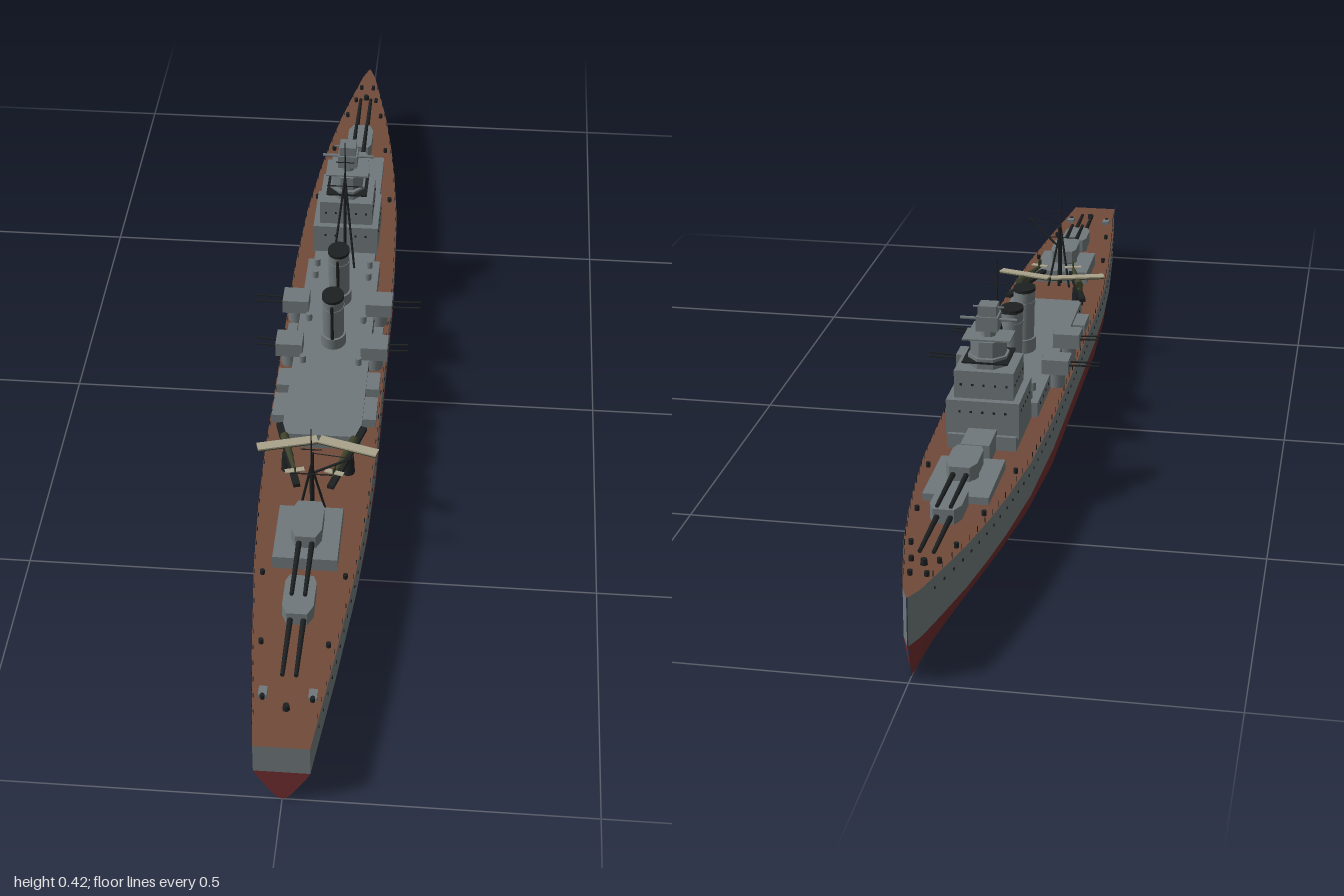
import * as THREE from 'three';
import { mergeGeometries, mergeVertices, toCreasedNormals } from 'three/addons/utils/BufferGeometryUtils.js';

const mat = (name, color, side = THREE.FrontSide) => {
  const m = new THREE.MeshStandardMaterial({ color, side });
  m.name = name;
  return m;
};

export function createModel() {
  const ship = new THREE.Group();
  ship.name = 'warship';
  const grey = mat('naval grey', 0x70787b);
  const red = mat('bottom red', 0x702d2e);
  const wood = mat('deck brown', 0x714a3a);
  const dark = mat('dark fittings', 0x1d2021);
  const cream = mat('wing cream', 0xa9a38c);
  const olive = mat('aircraft olive', 0x3f432c);

  const add = (name, geo, material, x = 0, y = 0, z = 0, parent = ship) => {
    const m = new THREE.Mesh(geo, material);
    m.name = name;
    m.position.set(x, y, z);
    parent.add(m);
    return m;
  };
  // box given by its base height
  const box = (name, w, h, d, x, y, z, material = grey, parent = ship) =>
    add(name, new THREE.BoxGeometry(w, h, d), material, x, y + h / 2, z, parent);
  // round bar between two points
  const rodGeo = (a, b, r, r2 = r) => {
    const p = new THREE.Vector3(...a), q = new THREE.Vector3(...b);
    const dir = q.clone().sub(p);
    const g = new THREE.CylinderGeometry(r2, r, dir.length(), 8);
    g.applyQuaternion(new THREE.Quaternion().setFromUnitVectors(new THREE.Vector3(0, 1, 0), dir.normalize()));
    return g.translate(...p.add(q).multiplyScalar(0.5).toArray());
  };
  const rods = (name, list, material = dark, parent = ship) =>
    add(name, mergeGeometries(list.map((l) => rodGeo(...l))), material, 0, 0, 0, parent);

  // surface through rows of points
  const loft = (rows) => {
    const n = rows[0].length, index = [];
    for (let i = 0; i < rows.length - 1; i++)
      for (let j = 0; j < n - 1; j++) {
        const a = i * n + j, c = a + n;
        index.push(a, c, a + 1, a + 1, c, c + 1);
      }
    const g = new THREE.BufferGeometry();
    g.setAttribute('position', new THREE.Float32BufferAttribute(rows.flat(2), 3));
    g.setIndex(index);
    return toCreasedNormals(mergeVertices(g), 0.5);
  };

  // Hull stations: z, half width, deck height, fullness of the bottom
  const stations = [
    [-1, 0.001, 0.145, 0], [-0.97, 0.013, 0.143, 0.05], [-0.9, 0.029, 0.14, 0.15], [-0.8, 0.05, 0.136, 0.3],
    [-0.7, 0.066, 0.132, 0.5], [-0.6, 0.079, 0.129, 0.65], [-0.45, 0.093, 0.125, 0.85], [-0.25, 0.1, 0.122, 1],
    [0, 0.1, 0.12, 1], [0.3, 0.1, 0.12, 1], [0.45, 0.096, 0.12, 0.9], [0.6, 0.087, 0.12, 0.7],
    [0.8, 0.068, 0.12, 0.35], [1, 0.045, 0.12, 0],
  ];
  const full = [[1, 1], [1, 0.7], [0.97, 0.48], [0.89, 0.27], [0.72, 0.12], [0, 0.03]];
  const vee = [[1, 1], [0.86, 0.8], [0.62, 0.53], [0.4, 0.28], [0.2, 0.1], [0, 0.03]];
  const WL = 0.064;
  const at = (z) => {
    let i = 1;
    while (i < stations.length - 1 && stations[i][0] < z) i++;
    const a = stations[i - 1], b = stations[i], t = (z - a[0]) / (b[0] - a[0]);
    return { w: a[1] + (b[1] - a[1]) * t, y: a[2] + (b[2] - a[2]) * t };
  };
  const half = ([z, w, , f]) => full.map(([fx, fy], k) => {
    const x = w * (vee[k][0] + (fx - vee[k][0]) * f), y = WL * (vee[k][1] + (fy - vee[k][1]) * f);
    return [x, y, z === -1 ? z + 0.02 * (1 - y / WL) : z];
  });
  const mirrored = (pts) => [...pts, ...pts.slice(0, -1).reverse().map(([x, y, z]) => [-x, y, z])];
  add('hullBottom', loft(stations.map((s) => mirrored(half(s)))), red);
  for (const s of [1, -1])
    add('hullSide', loft(stations.map(([z, w, y]) => {
      const edge = [[s * w, y, z], [s * w, WL, z]];
      return s > 0 ? edge : edge.reverse();
    })), grey);
  add('mainDeck', loft(stations.map(([z, w, y]) => [[-w, y, z], [w, y, z]])), wood);
  add('transom', loft([[[-0.045, 0.12, 1], [0.045, 0.12, 1]], [[-0.045, WL, 1], [0.045, WL, 1]]]), grey);
  add('transomBottom', loft(half(stations.at(-1)).map(([x, y, z]) => [[-x, y, z], [x, y, z]])), red);

  // Portholes and rail posts along both sides
  const holes = [], posts = [];
  for (let z = -0.92; z < 0.96; z += 0.035) {
    const { w, y } = at(z);
    for (const s of [1, -1]) {
      holes.push(new THREE.BoxGeometry(0.003, 0.004, 0.004).translate(s * w, y - 0.018, z));
      posts.push(new THREE.BoxGeometry(0.001, 0.01, 0.001).translate(s * (w - 0.002), y + 0.005, z));
    }
  }
  add('portholes', mergeGeometries(holes), dark);
  add('railPosts', mergeGeometries(posts), dark);

  // Deckhouse
  box('deckhouse', 0.142, 0.034, 0.54, 0, 0.116, 0.02);
  box('foreDeckhouse', 0.12, 0.034, 0.17, 0, 0.116, -0.325);
  box('foreHouseStep', 0.05, 0.04, 0.075, 0, 0.12, -0.435);
  const windows = [];
  for (let z = -0.22; z < 0.28; z += 0.03)
    for (const s of [1, -1]) windows.push(new THREE.BoxGeometry(0.002, 0.004, 0.004).translate(s * 0.071, 0.139, z));
  add('deckhousePortholes', mergeGeometries(windows), dark);

  // Bridge tower
  const tz = -0.34;
  box('towerBase', 0.128, 0.065, 0.125, 0, 0.145, tz);
  box('towerMiddle', 0.104, 0.05, 0.1, 0, 0.21, tz);
  const octagon = (name, r, h, y, sz = 1) => {
    const g = new THREE.CylinderGeometry(r, r, h, 8).rotateY(Math.PI / 8).scale(1.08, 1, sz * 1.08);
    add(name, toCreasedNormals(g, 0.3), grey, 0, y + h / 2, tz);
  };
  octagon('towerUpper', 0.034, 0.018, 0.26, 1.1);
  box('bridgeLedge', 0.08, 0.003, 0.08, 0, 0.27, tz, dark);
  octagon('bridge', 0.03, 0.028, 0.278);
  box('bridgeRoof', 0.084, 0.003, 0.055, 0, 0.307, tz);
  octagon('directorPost', 0.012, 0.016, 0.308);
  box('director', 0.038, 0.026, 0.038, 0, 0.322, tz);
  rods('rangefinder', [[[-0.05, 0.339, tz], [0.05, 0.339, tz], 0.003]], grey);
  box('upperDirector', 0.032, 0.019, 0.032, 0, 0.348, tz);
  rods('upperRangefinder', [[[-0.027, 0.361, tz], [0.027, 0.361, tz], 0.002]], grey);
  for (const [y, w, d] of [[0.19, 0.128, 0.125], [0.235, 0.104, 0.1]]) {
    const dots = [];
    for (let i = -2; i <= 2; i++)
      for (const s of [1, -1]) {
        dots.push(new THREE.BoxGeometry(0.002, 0.004, 0.004).translate(s * w / 2, y, tz + i * 0.02));
        dots.push(new THREE.BoxGeometry(0.004, 0.004, 0.002).translate(i * 0.02, y, tz + s * d / 2));
      }
    add('towerPortholes', mergeGeometries(dots), dark);
  }

  // Raked oval funnels
  const funnel = (z, top) => {
    const h = top - 0.145;
    const lean = new THREE.Matrix4().set(1, 0, 0, 0, 0, 1, 0, 0, 0, 0.13, 1, 0, 0, 0, 0, 1);
    const part = (name, r, len, y, m) =>
      add(name, new THREE.CylinderGeometry(r, r, len, 24).scale(1, 1, 1.25).translate(0, y + len / 2, 0).applyMatrix4(lean), m, 0, 0.145, z);
    part('funnel', 0.02, h, 0, grey);
    part('funnelBase', 0.024, 0.03, 0, grey);
    part('funnelBand', 0.0212, 0.004, h - 0.028, grey);
    part('funnelCap', 0.0207, 0.006, h - 0.005, dark);
    rods('steamPipe', [[[0, 0.15, z + 0.027], [0, top - 0.01, z + 0.027 + h * 0.13], 0.003]]);
  };
  funnel(0.01, 0.268);
  funnel(-0.125, 0.276);

  // Main gun turrets; dir is +1 for aft-facing
  const turret = (z, y, dir) => {
    const g = new THREE.Group();
    g.name = 'mainTurret';
    g.position.set(0, y, z);
    g.rotation.y = dir > 0 ? 0 : Math.PI;
    ship.add(g);
    const plan = new THREE.Shape([[-0.02, -0.045], [0.02, -0.045], [0.026, -0.03], [0.026, 0.025], [0.017, 0.045], [-0.017, 0.045],
      [-0.026, 0.025], [-0.026, -0.03]].map(([a, b]) => new THREE.Vector2(a, -b)));
    const house = new THREE.ExtrudeGeometry(plan, { depth: 0.025, bevelEnabled: false }).rotateX(-Math.PI / 2);
    add('gunHouse', house, grey, 0, 0.008, 0, g);
    add('barbette', new THREE.CylinderGeometry(0.024, 0.024, 0.02, 20), grey, 0, 0, 0, g);
    for (const s of [1, -1])
      rods('gunBarrel', [[[s * 0.011, 0.019, 0.035], [s * 0.011, 0.021, 0.17], 0.005, 0.0035]], dark, g);
  };
  turret(-0.69, 0.13, -1);
  box('foreGunPlatform', 0.11, 0.025, 0.153, 0, 0.118, -0.563);
  turret(-0.56, 0.145, -1);
  box('aftGunPlatform', 0.11, 0.03, 0.13, 0, 0.115, 0.54);
  turret(0.545, 0.148, 1);
  turret(0.7, 0.122, 1);

  // Side guns, boats and lockers
  for (const s of [1, -1]) {
    for (const [z, reach] of [[-0.09, 0.16], [0.045, 0.142]]) {
      box('sideGunHouse', 0.05, 0.028, 0.045, s * 0.08, 0.15, z);
      add('sideGunPedestal', new THREE.CylinderGeometry(0.016, 0.016, 0.034, 16), grey, s * 0.08, 0.135, z);
      rods('sideGunBarrels', [-0.009, 0.009].map((d) => [[s * 0.1, 0.165, z + d], [s * reach, 0.167, z + d], 0.0018]));
    }
    box('sideLocker', 0.024, 0.018, 0.065, s * 0.083, 0.126, 0.2);
    box('sideLocker', 0.024, 0.018, 0.05, s * 0.083, 0.126, 0.12);
    box('sideLocker', 0.018, 0.018, 0.05, s * 0.082, 0.126, -0.02);
    for (const z of [-0.23, -0.19, -0.05, 0.08])
      add('ventilator', new THREE.CylinderGeometry(0.006, 0.006, 0.016, 10), grey, s * 0.052, 0.157, z);

    // Floatplane resting on its catapult
    const plane = new THREE.Group();
    plane.name = 'floatplane';
    plane.position.set(s * 0.054, 0.158, 0.35);
    plane.rotation.y = -s * 0.28;
    ship.add(plane);
    box('catapult', 0.012, 0.007, 0.17, 0, -0.004, 0.005, dark, plane);
    add('catapultPedestal', new THREE.CylinderGeometry(0.01, 0.012, 0.036, 12), dark, 0, -0.02, 0, plane);
    rods('fuselage', [[[0, 0.014, -0.03], [0, 0.016, 0.075], 0.008, 0.003]], olive, plane);
    rods('float', [[[0, 0.005, -0.035], [0, 0.005, 0.04], 0.004, 0.002]], olive, plane);
    box('wing', 0.108, 0.003, 0.019, 0, 0.02, 0, cream, plane);
    box('wingUnderside', 0.108, 0.002, 0.019, 0, 0.0179, 0, olive, plane);
    box('tailplane', 0.034, 0.002, 0.01, 0, 0.017, 0.07, cream, plane);
    box('fin', 0.002, 0.014, 0.012, 0, 0.016, 0.07, olive, plane);
  }

  // Tripod masts with yards
  const mast = (name, z, base, top, back) => rods(name, [
    [[0, base, z], [0, top - 0.1, z], 0.003], [[0, top - 0.1, z], [0, top, z], 0.0018, 0.001],
    [[-0.022, base, z + back], [0, top - 0.08, z], 0.0022], [[0.022, base, z + back], [0, top - 0.08, z], 0.0022],
    [[-0.035, top - 0.1, z], [0.035, top - 0.1, z], 0.0012], [[-0.018, top - 0.045, z], [0.018, top - 0.045, z], 0.001],
  ]);
  mast('foreMast', -0.26, 0.145, 0.42, 0.035);
  mast('aftMast', 0.475, 0.118, 0.32, -0.025);
  rods('crane', [[[0, 0.118, 0.455], [0, 0.25, 0.455], 0.003], [[0, 0.205, 0.455], [0.068, 0.26, 0.475], 0.0022],
    [[0, 0.25, 0.455], [0.068, 0.26, 0.475], 0.0008]]);

  // Bollards and hatches
  for (const [x, z] of [[0.013, -0.92], [0.022, -0.87], [0.036, -0.81], [0.055, -0.68], [0.075, -0.5], [0.07, 0.62], [0.055, 0.78], [0.04, 0.9]])
    for (const s of [1, -1])
      add('bollard', new THREE.CylinderGeometry(0.004, 0.004, 0.009, 10), dark, s * x, at(z).y + 0.004, z);
  for (const z of [-0.88, 0.92])
    add('capstan', new THREE.CylinderGeometry(0.005, 0.006, 0.01, 12), dark, 0, at(z).y + 0.005, z);
  for (const s of [1, -1]) box('deckHatch', 0.014, 0.008, 0.02, s * 0.04, 0.119, 0.89);
  return ship;
}
